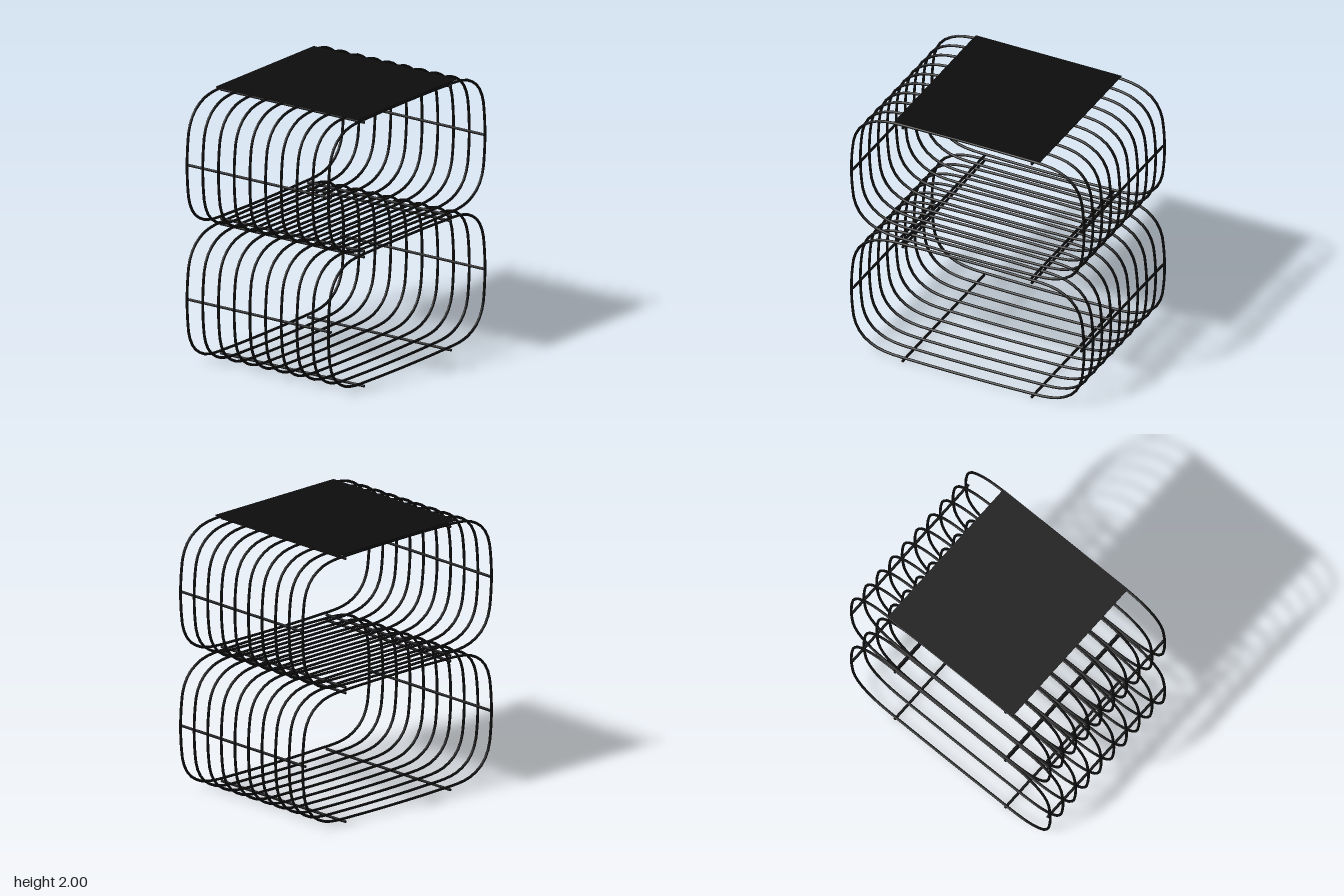
import * as THREE from 'three';

const WIRE = 0.01;       // wire radius
const HALF_DEPTH = 0.62; // z of the first and last hoop
const HOOPS = 10;

// Quarter of the rounded hoop, from the side middle to the top middle
const QUARTER = [
  [0.919, 0], [0.91, 0.17], [0.89, 0.28], [0.835, 0.375],
  [0.74, 0.44], [0.64, 0.467], [0.4, 0.477], [0, 0.481],
];

// Mirror the quarter into a closed hoop path
function hoopPath() {
  const half = [...QUARTER, ...QUARTER.slice(0, -1).reverse().map(([x, y]) => [-x, y])];
  const lower = half.slice(1, -1).reverse().map(([x, y]) => [x, -y]);
  const points = [...half, ...lower].map(([x, y]) => new THREE.Vector3(x, y, 0));
  return new THREE.CatmullRomCurve3(points, true, 'centripetal');
}

export function createModel() {
  const model = new THREE.Group();
  model.name = 'wireRack';
  const black = new THREE.MeshStandardMaterial({ color: 0x0d0d0d });
  black.name = 'black';

  const hoopGeometry = new THREE.TubeGeometry(hoopPath(), 84, WIRE, 8, true);
  const rodGeometry = new THREE.CylinderGeometry(WIRE, WIRE, 2 * HALF_DEPTH + 0.02, 10);
  rodGeometry.rotateX(Math.PI / 2);

  const add = (parent, name, geometry, x, y, z) => {
    const mesh = new THREE.Mesh(geometry, black);
    mesh.name = name;
    mesh.position.set(x, y, z);
    parent.add(mesh);
  };

  // Two stacked tiers of hoops, tied together by rods running front to back
  const tiers = [
    { name: 'lowerTier', centre: 0.511, rods: [[0.51, 0.013], [0.90, 0.511], [0.51, 0.967]] },
    { name: 'upperTier', centre: 1.504, rods: [[0.51, 1.008], [0.90, 1.504], [0.51, 1.962]] },
  ];
  for (const { name, centre, rods } of tiers) {
    const tier = new THREE.Group();
    tier.name = name;
    for (let i = 0; i < HOOPS; i++) {
      add(tier, 'hoop', hoopGeometry, 0, centre, -HALF_DEPTH + (2 * HALF_DEPTH * i) / (HOOPS - 1));
    }
    for (const [x, y] of rods) {
      add(tier, 'leftRod', rodGeometry, x, y, 0);
      add(tier, 'rightRod', rodGeometry, -x, y, 0);
    }
    model.add(tier);
  }

  // Thin flat top resting on the upper hoops
  add(model, 'topPanel', new THREE.BoxGeometry(1.15, 0.008, 1.25), 0, 1.996, 0);
  return model;
}
